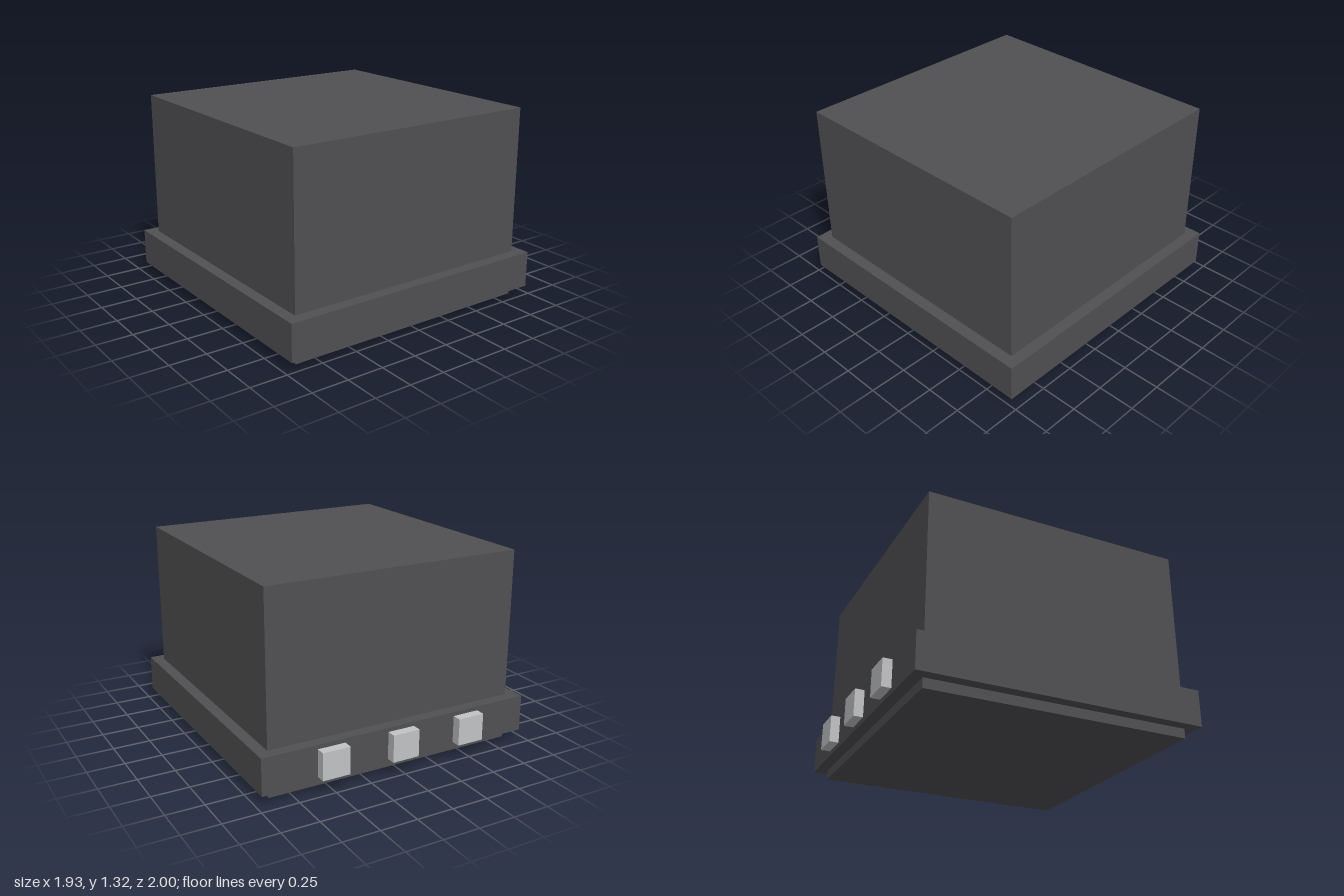
import * as THREE from 'three';

export function createModel() {
  const model = new THREE.Group();
  model.name = 'boxWithCollar';

  const darkGrey = new THREE.MeshStandardMaterial({ color: 0x505053 });
  darkGrey.name = 'darkGrey';
  const lightGrey = new THREE.MeshStandardMaterial({ color: 0xc2c3c5 });
  lightGrey.name = 'lightGrey';

  // Box given by its lower and upper corners
  function addBox(name, material, [x0, y0, z0], [x1, y1, z1]) {
    const mesh = new THREE.Mesh(new THREE.BoxGeometry(x1 - x0, y1 - y0, z1 - z0), material);
    mesh.position.set((x0 + x1) / 2, (y0 + y1) / 2, (z0 + z1) / 2);
    mesh.name = name;
    model.add(mesh);
  }

  // Main housing and the wider collar around its foot
  addBox('body', darkGrey, [-0.89, 0, -0.86], [0.89, 1.315, 0.922]);
  addBox('collar', darkGrey, [-0.967, 0.065, -0.937], [0.967, 0.313, 1]);

  // Three connector blocks along the back of the collar
  ['right', 'middle', 'left'].forEach((side, i) => {
    const x = (i - 1) * 0.5 - 0.002;
    addBox(`${side}Connector`, lightGrey, [x - 0.095, 0.1, -1], [x + 0.095, 0.285, -0.93]);
  });

  return model;
}
